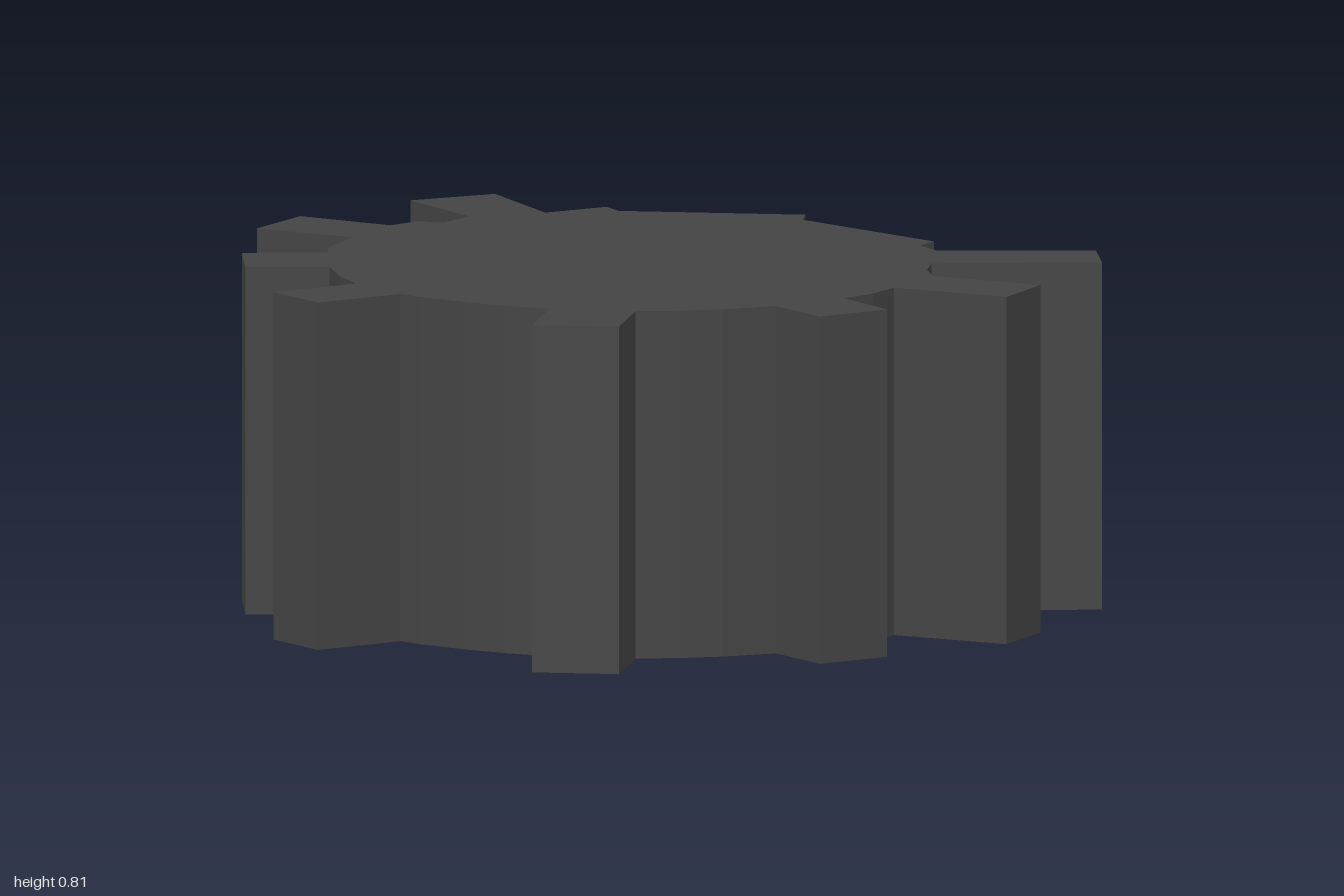
import * as THREE from 'three';

const HEIGHT = 0.81;

// Teeth as [x, z] corners: root start, tip start, tip end, root end.
// "rim" lists the hub points that follow before the next tooth.
const TEETH = [
  { tip: [[0.59, -0.34], [0.95, -0.42], [1.0, -0.26], [0.62, -0.16]], rim: [[0.63, -0.07]] },
  { tip: [[0.66, 0.01], [0.93, 0.08], [0.89, 0.26], [0.61, 0.19]], rim: [[0.58, 0.28]] },
  { tip: [[0.53, 0.36], [0.66, 0.49], [0.53, 0.62], [0.4, 0.5]], rim: [[0.29, 0.57], [0.2, 0.61]] },
  { tip: [[0.1, 0.64], [0.11, 0.86], [-0.09, 0.88], [-0.1, 0.65]], rim: [[-0.21, 0.63], [-0.31, 0.6], [-0.43, 0.55]] },
  { tip: [[-0.48, 0.52], [-0.64, 0.68], [-0.77, 0.56], [-0.61, 0.4]], rim: [[-0.67, 0.31]] },
  { tip: [[-0.72, 0.19], [-0.91, 0.23], [-0.96, 0.04], [-0.77, -0.01]], rim: [[-0.78, -0.08]] },
  { tip: [[-0.76, -0.23], [-1.0, -0.3], [-0.94, -0.49], [-0.71, -0.41]], rim: [[-0.66, -0.48], [-0.6, -0.47]] },
  {
    tip: [[-0.56, -0.57], [-0.74, -0.76], [-0.57, -0.89], [-0.43, -0.7]],
    rim: [[-0.4, -0.66], [-0.28, -0.77], [-0.24, -0.72], [0.19, -0.76], [0.2, -0.69], [0.56, -0.46], [0.54, -0.4]],
  },
];

// Upright prism over a ground outline of [x, z] points
function prism(name, outline, material) {
  const shape = new THREE.Shape(outline.map(([x, z]) => new THREE.Vector2(x, -z)));
  const geometry = new THREE.ExtrudeGeometry(shape, { depth: HEIGHT, bevelEnabled: false });
  geometry.rotateX(-Math.PI / 2);
  const mesh = new THREE.Mesh(geometry, material);
  mesh.name = name;
  return mesh;
}

export function createModel() {
  const group = new THREE.Group();
  group.name = 'gear';
  const material = new THREE.MeshStandardMaterial({ color: 0x444444, flatShading: true });

  // Hub: tooth roots joined by the rim points
  const hub = TEETH.flatMap(({ tip, rim }) => [tip[0], tip[3], ...rim]);
  group.add(prism('hub', hub, material));

  // Uneven teeth around the hub
  TEETH.forEach(({ tip }, i) => group.add(prism(`tooth${i + 1}`, tip, material)));
  return group;
}
